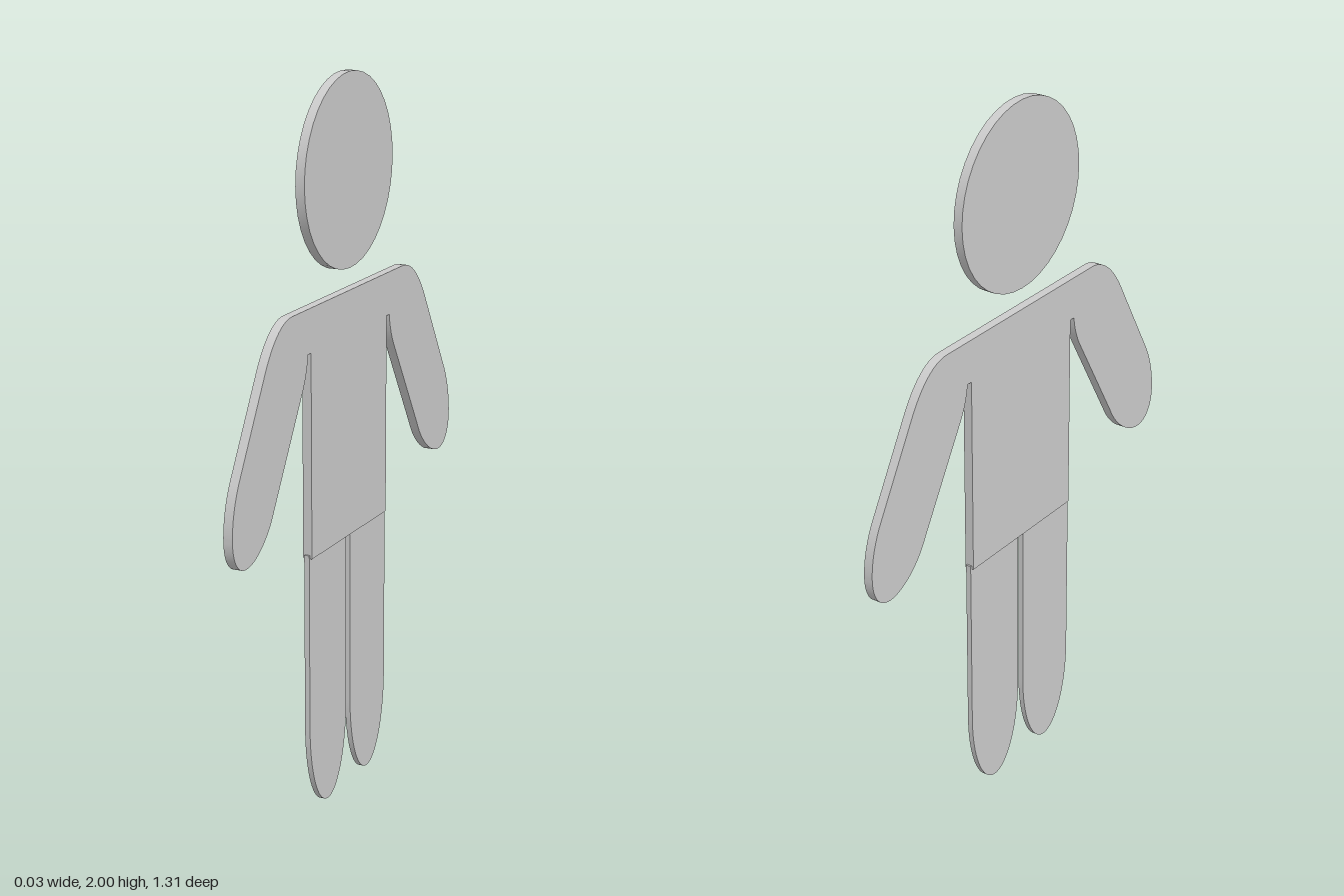
import * as THREE from 'three';
import { toCreasedNormals } from 'three/addons/utils/BufferGeometryUtils.js';

const material = new THREE.MeshStandardMaterial({ color: 0xcccccc });

// Flat slab: the shape's x becomes the model's z, the thickness lies along x.
function slab(name, shape, thickness) {
  const extruded = new THREE.ExtrudeGeometry(shape, { depth: thickness, bevelEnabled: false, curveSegments: 20 });
  extruded.translate(0, 0, -thickness / 2);
  extruded.rotateY(-Math.PI / 2);
  const mesh = new THREE.Mesh(toCreasedNormals(extruded, 0.6), material);
  mesh.name = name;
  return mesh;
}

// Half of the torso with one arm, from the shoulder to the hem.
function halfBody() {
  const p = new THREE.Path();
  p.moveTo(0.33, 1.42);
  p.bezierCurveTo(0.39, 1.42, 0.44, 1.37, 0.477, 1.307);       // shoulder
  p.lineTo(0.622, 1.055);                                      // outer arm
  p.bezierCurveTo(0.65, 1.0, 0.658, 0.95, 0.657, 0.91);        // hand
  p.bezierCurveTo(0.655, 0.86, 0.63, 0.822, 0.585, 0.822);
  p.bezierCurveTo(0.53, 0.822, 0.465, 0.875, 0.435, 0.936);
  p.lineTo(0.276, 1.206);                                      // inner arm
  p.quadraticCurveTo(0.25, 1.25, 0.244, 1.3);                  // armpit notch
  p.lineTo(0.227, 1.3);
  p.lineTo(0.227, 0.735);
  return p.getPoints(14);
}

// Leg with a half-ellipse foot, centred on its own axis.
function legShape() {
  const w = 0.11, foot = 0.25, top = 0.745;
  const s = new THREE.Shape();
  s.moveTo(w, top);
  s.lineTo(-w, top);
  s.lineTo(-w, foot);
  s.absellipse(0, foot, w, foot, Math.PI, 2 * Math.PI, false);
  s.lineTo(w, top);
  return s;
}

export function createModel() {
  const model = new THREE.Group();
  model.name = 'flatFigure';

  // Head disc
  const disc = new THREE.Shape();
  disc.absarc(0, 1.74, 0.26, 0, Math.PI * 2);
  model.add(slab('head', disc, 0.026));

  // Torso and arms in one piece, mirrored about the middle
  const half = halfBody();
  const mirrored = half.map((v) => new THREE.Vector2(-v.x, v.y)).reverse();
  model.add(slab('torsoAndArms', new THREE.Shape([...half, ...mirrored]), 0.026));

  // Thinner legs
  for (const [name, z] of [['frontLeg', 0.122], ['backLeg', -0.122]]) {
    const leg = slab(name, legShape(), 0.015);
    leg.position.z = z;
    model.add(leg);
  }
  return model;
}
